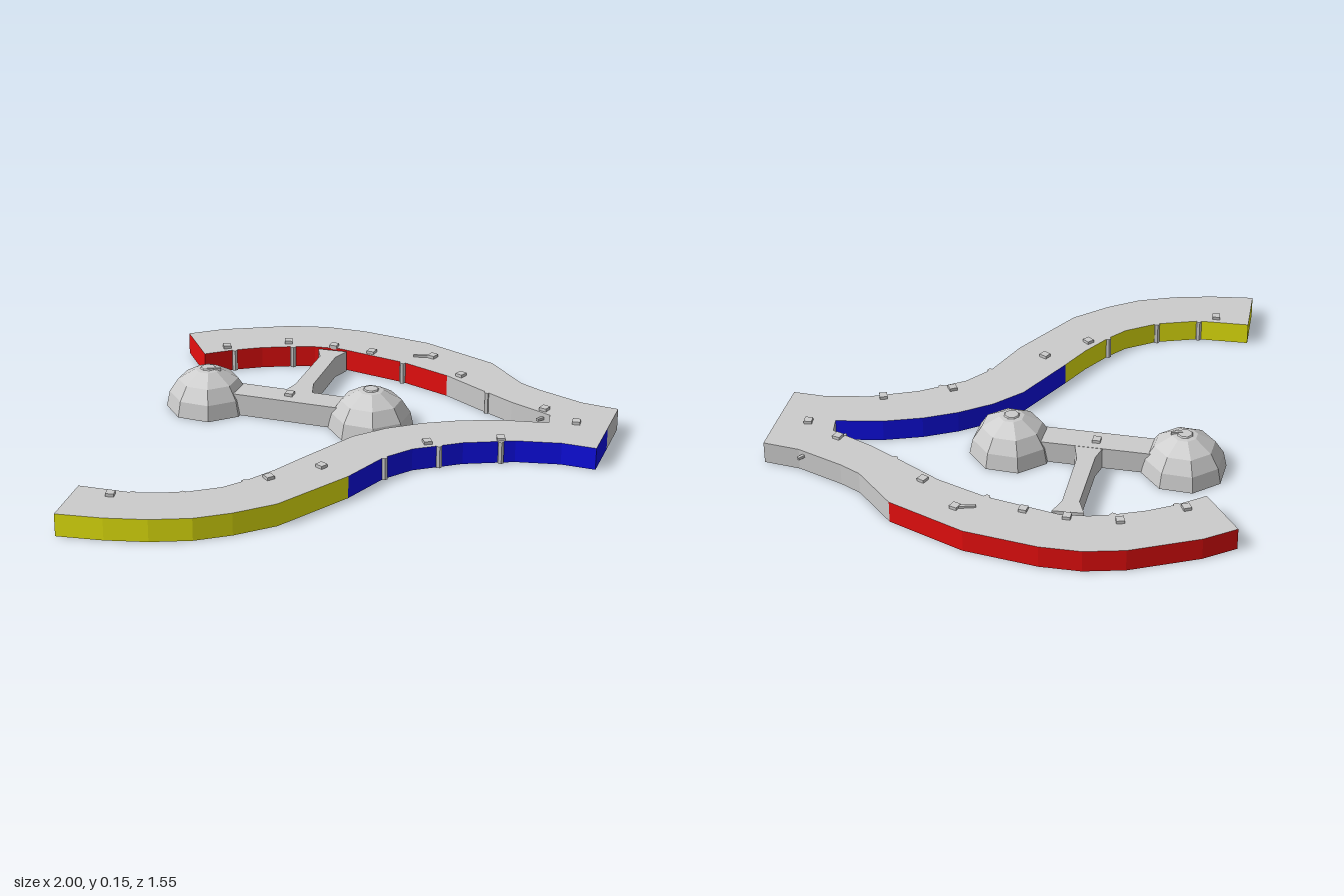
import * as THREE from 'three';

const H = 0.08; // slab thickness
const makeMat = (color) => new THREE.MeshStandardMaterial({ color, flatShading: true });

// Perimeter of the curved track as [x, z], clockwise from above, split by wall colour
const RUNS = [
  ['outerWall', 'grey', [[.66, -.285], [.72, -.09], [.77, -.02], [.89, .115], [1, .19]]],
  ['frontBlueWall', 'blue', [[.918, .34], [.835, .49], [.73, .43], [.58, .385], [.4, .37], [.22, .39], [.11, .44]]],
  ['yellowWall', 'yellow', [[-.03, .56], [-.29, .72], [-.44, .76], [-.57, .775], [-.71, .76], [-.85, .725], [-1, .67],
    [-.91, .48], [-.74, .56], [-.58, .585], [-.45, .57], [-.37, .535], [-.26, .47]]],
  ['innerBlueWall', 'blue', [[-.16, .396], [.04, .255], [.165, .21], [.3, .19], [.43, .19], [.57, .21]]],
  ['innerWall', 'grey', [[.73, .26], [.75, .2], [.645, .07], [.565, -.05]]],
  ['redWall', 'red', [[.47, -.2], [.34, -.345], [.13, -.515], [.04, -.55], [-.04, -.565], [-.155, -.575], [-.26, -.57],
    [-.375, -.55], [-.41, -.76], [-.28, -.78], [-.02, -.77], [.12, -.735], [.25, -.67], [.465, -.515]]],
];

// Vertical strip along a path, facing the left of travel
function wallGeometry(path) {
  const pos = [];
  for (let i = 0; i < path.length - 1; i++) {
    const [ax, az] = path[i], [bx, bz] = path[i + 1];
    pos.push(ax, 0, az, bx, H, bz, bx, 0, bz, ax, 0, az, ax, H, az, bx, H, bz);
  }
  const g = new THREE.BufferGeometry();
  g.setAttribute('position', new THREE.Float32BufferAttribute(pos, 3));
  g.computeVertexNormals();
  return g;
}

const shapeOf = (pts, sign) => new THREE.Shape(pts.map(([x, z]) => new THREE.Vector2(x, sign * z)));

export function createModel() {
  const root = new THREE.Group();
  const mats = {
    grey: makeMat(0xcccccc), red: makeMat(0xe60e0e), blue: makeMat(0x0e0ee6), yellow: makeMat(0xe6e60e),
  };
  const add = (name, geo, mat = mats.grey, x = 0, y = 0, z = 0, turn = 0) => {
    const m = new THREE.Mesh(geo, mat);
    m.name = name;
    m.position.set(x, y, z);
    m.rotation.y = turn;
    root.add(m);
    return m;
  };

  // Track: top, underside and coloured walls
  const outline = RUNS.flatMap((r) => r[2]);
  add('trackTop', new THREE.ShapeGeometry(shapeOf(outline, -1)).rotateX(-Math.PI / 2), mats.grey, 0, H);
  add('trackUnderside', new THREE.ShapeGeometry(shapeOf(outline, 1)).rotateX(Math.PI / 2));
  RUNS.forEach(([name, color, pts], i) => {
    const next = RUNS[(i + 1) % RUNS.length][2][0];
    add(name, wallGeometry([...pts, next]), mats[color]);
  });

  // Faceted domes
  const profile = [[0, 0], [.152, 0], [.14, .057], [.108, .106], [.045, .143], [0, .15]]
    .map(([r, y]) => new THREE.Vector2(r, y));
  const domes = [[-.395, -.265], [.147, .022]];
  for (const [x, z] of domes) {
    const phi = THREE.MathUtils.degToRad(37);
    add('dome', new THREE.LatheGeometry(profile, 8, phi), mats.grey, x, 0, z);
    add('domeCap', new THREE.CylinderGeometry(.025, .03, .006, 8), mats.grey, x, .147, z);
  }

  // Bar joining the domes
  const [[x0, z0], [x1, z1]] = domes;
  const barTurn = -Math.atan2(z1 - z0, x1 - x0);
  add('domeBar', new THREE.BoxGeometry(.5, H, .1), mats.grey, (x0 + x1) / 2, H / 2, (z0 + z1) / 2, barTurn);

  // Strut from the bar to the track, flared at both ends
  const strut = [[.05, -.53], [.045, -.46], [-.085, -.22], [-.13, -.17], [-.04, -.12], [-.02, -.21], [.1, -.44], [.15, -.485]];
  add('strut', new THREE.ExtrudeGeometry(shapeOf(strut, -1), { depth: H - .001, bevelEnabled: false })
    .rotateX(-Math.PI / 2));

  // Small studs on the top: x, z, turn
  const studs = [
    [-.285, -.6, 0], [-.05, -.608, -.2], [.112, -.537, -.5], [.24, -.457, -.6], [.455, -.377, -.8],
    [.52, -.19, -.9], [.743, .152, -.8], [.823, .28, -.4], [.533, .365, -.15], [.28, .35, .05],
    [-.105, .475, .6], [-.29, .53, .4], [-.812, .565, -.3], [-.12, -.125, barTurn],
  ];
  const studGeo = new THREE.BoxGeometry(.028, .015, .03);
  for (const [x, z, turn] of studs) add('stud', studGeo, mats.grey, x, .0835, z, turn);

  // Upright ribs on the walls
  const ribs = [
    [-.26, -.57], [-.04, -.565], [.335, -.345], [.58, -.03], [-.74, .56], [-.58, .585], [-.37, .535],
    [.115, .438], [.315, .379], [.53, .382],
  ];
  const ribGeo = new THREE.CylinderGeometry(.011, .011, H, 6);
  for (const [x, z] of ribs) add('rib', ribGeo, mats.grey, x, H / 2, z);

  // Thin pins: x, y, z, length, turn
  const pins = [
    [.42, .083, -.387, .07, -.2], [.877, .06, .1, .05, .5], [.725, .06, .18, .04, .5], [-.375, .146, -.25, .05, -.2],
  ];
  for (const [x, y, z, len, turn] of pins) add('pin', new THREE.BoxGeometry(len, .01, .01), mats.grey, x, y, z, turn);

  return root;
}
